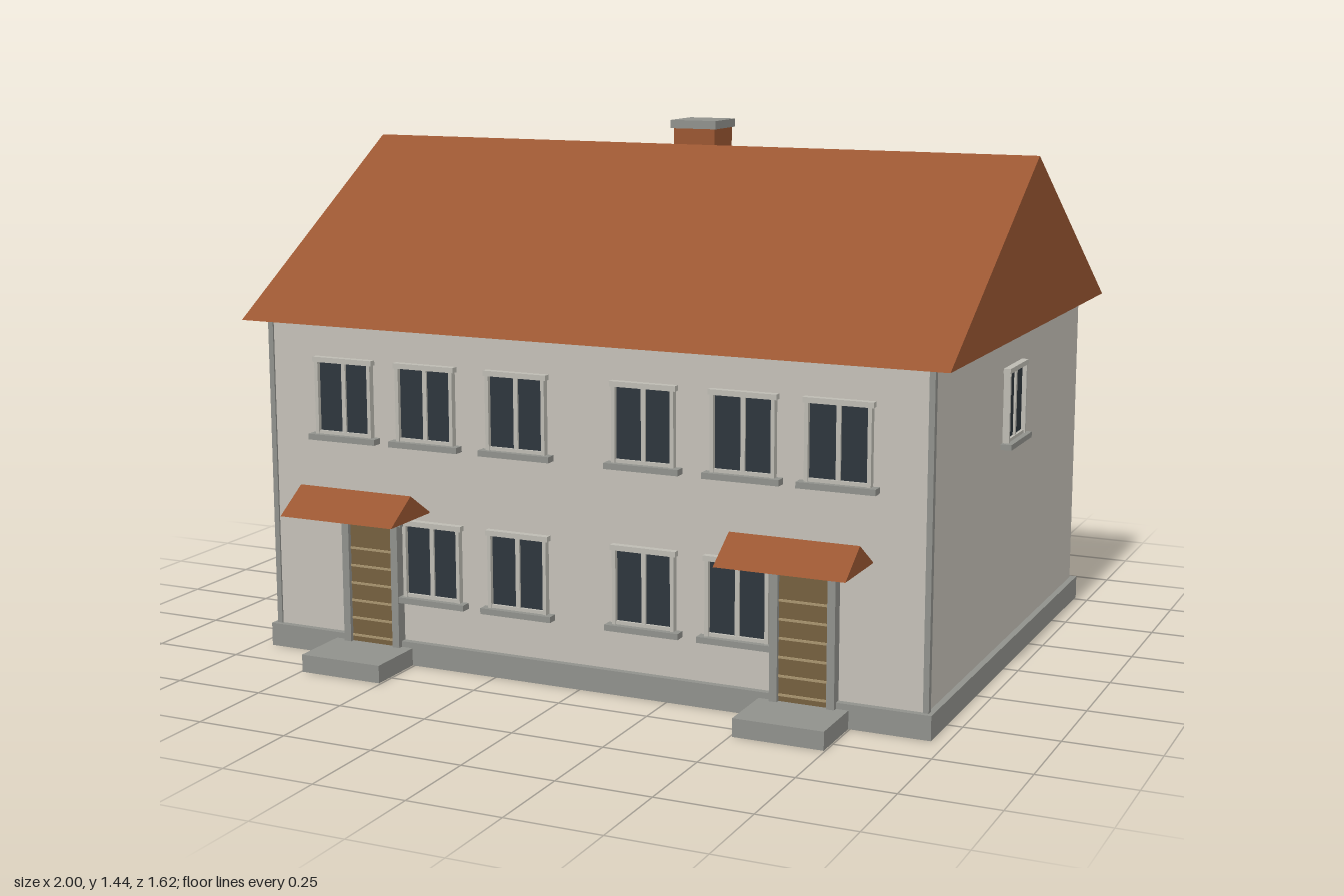
import * as THREE from 'three';

const mat = (name, color) => {
  const m = new THREE.MeshStandardMaterial({ color });
  m.name = name;
  return m;
};

export function createModel() {
  const roofTile = mat('roof tile', 0x9a5632);
  const plaster = mat('plaster', 0xc4c0b7);
  const trim = mat('window trim', 0xbdbbb3);
  const stone = mat('stone', 0x90918c);
  const glass = mat('glass', 0x2e363d);
  const wood = mat('door wood', 0x75603f);
  const lightWood = mat('light wood', 0xa8946f);

  const house = new THREE.Group();
  house.name = 'house';

  // Box given by its extents on each axis
  const box = (parent, name, m, [x0, x1], [y0, y1], [z0, z1]) => {
    const mesh = new THREE.Mesh(new THREE.BoxGeometry(x1 - x0, y1 - y0, z1 - z0), m);
    mesh.position.set((x0 + x1) / 2, (y0 + y1) / 2, (z0 + z1) / 2);
    mesh.name = name;
    parent.add(mesh);
    return mesh;
  };

  // Gabled prism with its ridge along x
  const gable = (parent, name, [x0, x1], [y0, y1], [z0, z1]) => {
    const s = new THREE.Shape();
    s.moveTo(-z1, y0);
    s.lineTo(-z0, y0);
    s.lineTo(-(z0 + z1) / 2, y1);
    s.closePath();
    const g = new THREE.ExtrudeGeometry(s, { depth: x1 - x0, bevelEnabled: false });
    g.rotateY(Math.PI / 2);
    g.translate(x0, 0, 0);
    const mesh = new THREE.Mesh(g, roofTile);
    mesh.name = name;
    parent.add(mesh);
  };

  // Body
  box(house, 'plinth', stone, [-0.96, 0.96], [0, 0.064], [-0.773, 0.632]);
  box(house, 'walls', plaster, [-0.943, 0.943], [0.06, 0.922], [-0.757, 0.614]);
  for (const s of [-1, 1]) {
    const strip = box(house, 'cornerStrip', stone, [0.934, 0.949], [0.06, 0.92], [0.602, 0.619]);
    strip.position.x *= s;
  }

  // Roof and chimney
  gable(house, 'roof', [-1, 1], [0.92, 1.376], [-0.808, 0.667]);
  box(house, 'chimney', roofTile, [-0.062, 0.062], [1.15, 1.42], [-0.224, -0.1]);
  box(house, 'chimneyCap', stone, [-0.069, 0.069], [1.418, 1.441], [-0.231, -0.093]);

  // Window centred on its glass, facing +z before turning
  const addWindow = (x, y, z, turn, size = 1) => {
    const w = new THREE.Group();
    w.name = 'window';
    box(w, 'pane', glass, [-0.08, 0.08], [-0.1, 0.095], [-0.002, 0.006]);
    for (const s of [-1, 1]) {
      const jamb = box(w, 'jamb', trim, [0.077, 0.087], [-0.104, 0.1], [-0.005, 0.018]);
      jamb.position.x *= s;
    }
    box(w, 'mullion', trim, [-0.006, 0.006], [-0.1, 0.095], [-0.005, 0.012]);
    box(w, 'bottomRail', trim, [-0.08, 0.08], [-0.104, -0.094], [-0.005, 0.014]);
    box(w, 'head', trim, [-0.092, 0.092], [0.094, 0.108], [-0.005, 0.019]);
    box(w, 'sill', stone, [-0.104, 0.104], [-0.119, -0.103], [-0.005, 0.03]);
    w.position.set(x, y, z);
    w.rotation.y = turn;
    w.scale.set(size, size, 1);
    house.add(w);
  };

  const upper = 0.72, lower = 0.293;
  for (const s of [-1, 1]) {
    for (const x of [0.183, 0.456, 0.708]) addWindow(s * x, upper, 0.614, 0);
    for (const x of [0.183, 0.443]) addWindow(s * x, lower, 0.614, 0);
    for (const x of [0.213, 0.64])
      for (const y of [upper, lower]) addWindow(s * x, y, -0.757, Math.PI);
    addWindow(s * 0.943, upper, -0.071, s * Math.PI / 2, 0.95);
  }

  // Entrances with step, framed door and small gabled canopy
  for (const s of [-1, 1]) {
    const e = new THREE.Group();
    e.name = 'entrance';
    box(e, 'step', stone, [-0.12, 0.12], [0, 0.048], [0.6, 0.803]);
    box(e, 'door', wood, [-0.07, 0.07], [0.04, 0.39], [0.61, 0.634]);
    for (let i = 0; i < 6; i++) {
      const y = 0.065 + i * 0.049;
      box(e, 'doorBatten', lightWood, [-0.066, 0.066], [y - 0.003, y + 0.003], [0.632, 0.637]);
    }
    for (const t of [-1, 1]) {
      const jamb = box(e, 'doorJamb', stone, [0.066, 0.087], [0.04, 0.39], [0.605, 0.646]);
      jamb.position.x *= t;
    }
    box(e, 'doorLintel', stone, [-0.1, 0.1], [0.386, 0.416], [0.605, 0.648]);
    gable(e, 'canopy', [-0.171, 0.171], [0.425, 0.491], [0.608, 0.808]);
    e.position.x = s * 0.626;
    house.add(e);
  }

  return house;
}
